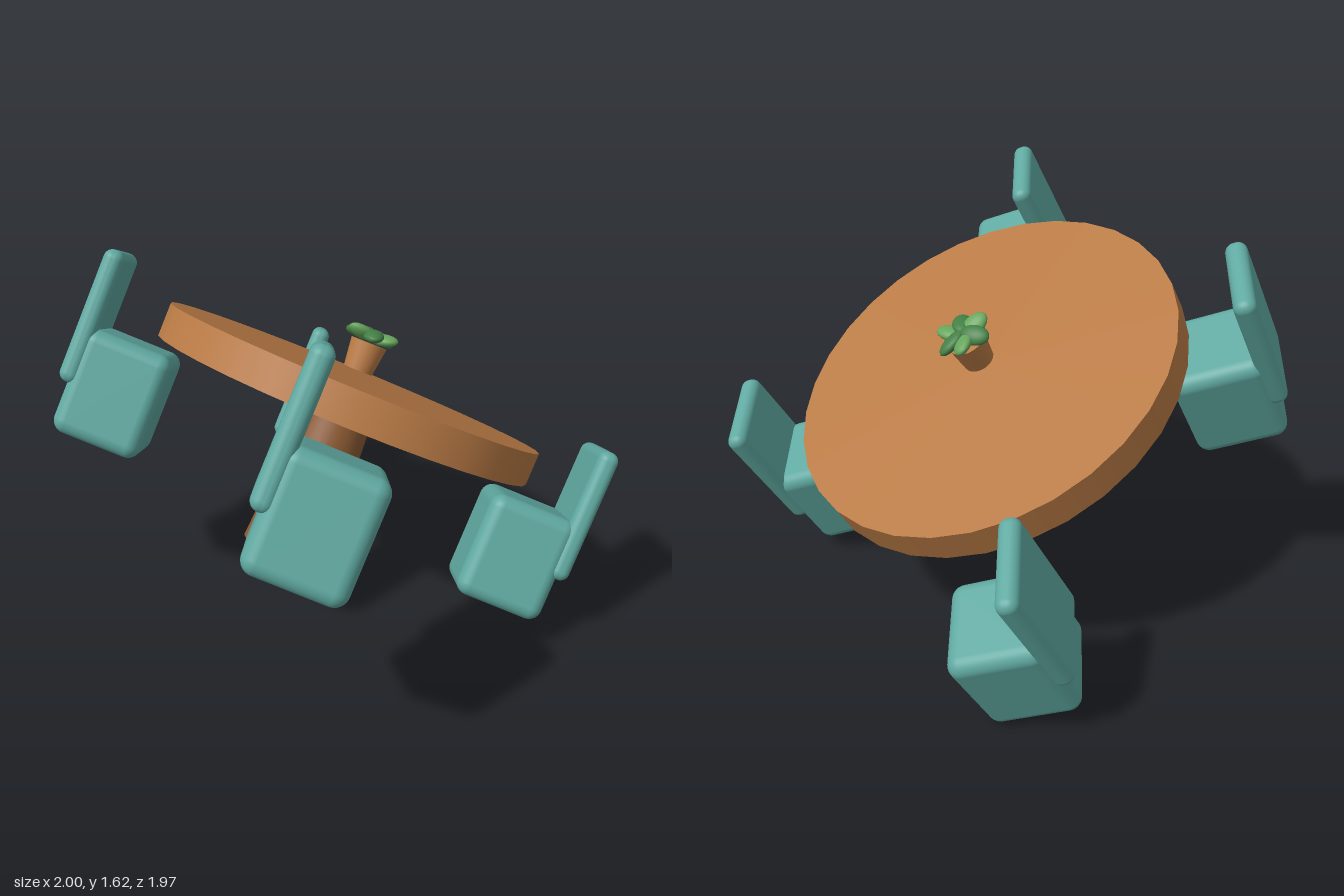
import * as THREE from 'three';
import { RoundedBoxGeometry } from 'three/addons/geometries/RoundedBoxGeometry.js';

const material = (color) => new THREE.MeshStandardMaterial({ color });
const teal = material(0x5fa8a0);
const wood = material(0xb87a45);
const darkWood = material(0x8b5a33);
const lightLeaf = material(0x66a55c);
const darkLeaf = material(0x437f45);

function part(name, geometry, mat, x, y, z) {
  const mesh = new THREE.Mesh(geometry, mat);
  mesh.name = name;
  mesh.position.set(x, y, z);
  return mesh;
}

// Upholstered cube seat with a slab back on its local +z face
function createChair(x, z, angle) {
  const chair = new THREE.Group();
  chair.name = 'chair';
  chair.add(
    part('seat', new RoundedBoxGeometry(0.372, 0.446, 0.372, 5, 0.055), teal, 0, 0, 0),
    part('chairBack', new RoundedBoxGeometry(0.372, 0.565, 0.085, 5, 0.038), teal, 0, 0.261, 0.185)
  );
  chair.position.set(x, 0.556, z);
  chair.rotation.y = angle;
  return chair;
}

// Small pot with a ring of flattened leaves in two greens
function createPlant() {
  const plant = new THREE.Group();
  plant.name = 'plant';
  plant.add(part('pot', new THREE.CylinderGeometry(0.078, 0.063, 0.12, 20), darkWood, 0, 1.075, 0));
  plant.children[0].material = wood;
  for (let i = 0; i < 6; i++) {
    const pivot = new THREE.Group();
    pivot.name = 'leafPivot';
    pivot.rotation.y = THREE.MathUtils.degToRad(20 + i * 60);
    const leaf = part('leaf', new THREE.SphereGeometry(1, 16, 12), i % 2 ? darkLeaf : lightLeaf, 0.056, 1.168, 0);
    leaf.scale.set(0.064, 0.024, 0.042);
    leaf.rotation.set(0.35, 0, i % 2 ? -0.2 : 0.2);
    pivot.add(leaf);
    plant.add(pivot);
  }
  return plant;
}

export function createModel() {
  const model = new THREE.Group();
  model.name = 'diningSet';

  // The whole set leans backwards by 30 degrees
  const set = new THREE.Group();
  set.name = 'tiltedSet';
  set.rotation.x = -Math.PI / 6;
  model.add(set);

  // Round table on a tapered pedestal
  const table = new THREE.Group();
  table.name = 'table';
  table.position.set(0.016, 0, 0.379);
  table.add(
    part('tableTop', new THREE.CylinderGeometry(0.814, 0.814, 0.137, 32), wood, 0, 0.9165, 0),
    part('pedestal', new THREE.CylinderGeometry(0.135, 0.18, 0.66, 32), darkWood, 0, 0.527, 0),
    createPlant()
  );
  set.add(table);

  // Chairs on the diagonals: three share one heading, the last is turned around
  const heading = -Math.PI / 4;
  const seats = [
    [0.758, 1.114, heading],
    [-0.614, 1.003, heading],
    [-0.723, -0.355, heading],
    [0.643, -0.243, heading + Math.PI],
  ];
  for (const [x, z, angle] of seats) set.add(createChair(x, z, angle));

  return model;
}
